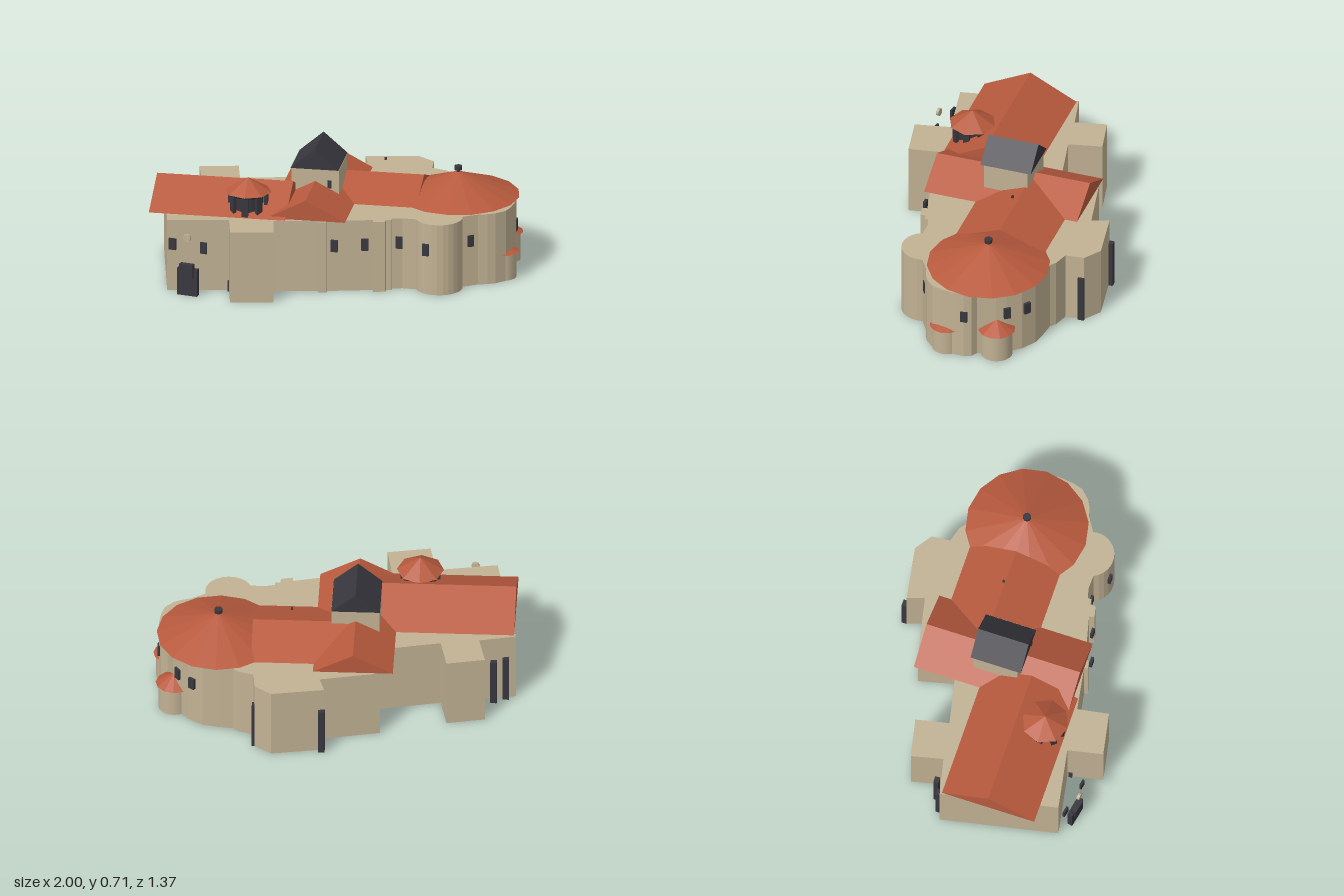
import * as THREE from 'three';

const mat = (name, color) => {
  const m = new THREE.MeshStandardMaterial({ color });
  m.name = name;
  return m;
};

export function createModel() {
  const stone = mat('stone', 0xc2b294);
  const tile = mat('roof tile', 0xb85a3e);
  const slate = mat('dark slate', 0x37373e);
  const model = new THREE.Group();
  const EAVE = 0.41;

  const add = (name, geo, material, x = 0, y = 0, z = 0, ry = 0) => {
    const m = new THREE.Mesh(geo, material);
    m.name = name;
    m.position.set(x, y, z);
    m.rotation.y = ry;
    model.add(m);
    return m;
  };
  const box = (name, material, x, y, z, w, h, d, ry = 0) =>
    add(name, new THREE.BoxGeometry(w, h, d), material, x, y, z, ry);
  const cyl = (name, material, x, y0, y1, z, rTop, rBottom, sides) =>
    add(name, new THREE.CylinderGeometry(rTop, rBottom, y1 - y0, sides), material, x, (y0 + y1) / 2, z);
  const cone = (name, material, x, y0, y1, z, r, sides) => {
    const g = new THREE.ConeGeometry(r, y1 - y0, sides).toNonIndexed();
    g.computeVertexNormals();
    return add(name, g, material, x, (y0 + y1) / 2, z);
  };

  // Gabled roof prism whose ridge runs along z, or along x when alongX is set
  const gable = (name, material, x0, x1, z0, z1, y0, y1, alongX) => {
    const span = alongX ? z1 - z0 : x1 - x0;
    const length = alongX ? x1 - x0 : z1 - z0;
    const s = new THREE.Shape();
    s.moveTo(-span / 2, 0);
    s.lineTo(span / 2, 0);
    s.lineTo(0, y1 - y0);
    const g = new THREE.ExtrudeGeometry(s, { depth: length, bevelEnabled: false });
    g.translate(0, 0, -length / 2);
    return add(name, g, material, (x0 + x1) / 2, y0, (z0 + z1) / 2, alongX ? Math.PI / 2 : 0);
  };

  // Walls: footprint as x, z pairs, with a rounded side chapel and an east apse
  const plan = [
    [-1, -0.10], [-0.87, 0.545], [-0.535, 0.485], [-0.495, 0.68], [-0.26, 0.635], [-0.29, 0.46],
    [-0.05, 0.42], [-0.045, 0.44], [0, 0.43], [0, 0.41], [0.245, 0.35], [0.25, 0.38],
    [0.315, 0.365], [0.315, 0.335], [0.345, 0.33], [0.345, 0.31], [0.40, 0.295],
  ];
  for (let i = 0; i <= 12; i++) {
    const a = THREE.MathUtils.degToRad(155 - i * 14);
    plan.push([0.595 + 0.13 * Math.cos(a), 0.243 + 0.13 * Math.sin(a)]);
  }
  plan.push(
    [0.80, 0.165], [0.85, 0.15], [0.89, 0.13], [0.94, 0.08], [0.957, 0.02], [0.965, -0.05],
    [0.965, -0.11], [0.95, -0.15], [0.915, -0.17], [0.90, -0.21], [0.88, -0.27], [0.85, -0.32],
    [0.79, -0.39], [0.71, -0.44], [0.63, -0.455], [0.54, -0.465], [0.51, -0.49], [0.425, -0.515],
    [0.415, -0.62], [0.32, -0.685], [0.03, -0.635], [0.06, -0.54], [-0.27, -0.47], [-0.22, -0.26],
    [-0.59, -0.18], [-0.63, -0.365], [-0.84, -0.32], [-0.80, -0.145],
  );
  const footprint = new THREE.Shape(plan.map(([x, z]) => new THREE.Vector2(x, -z)));
  const walls = new THREE.ExtrudeGeometry(footprint, { depth: EAVE, bevelEnabled: false });
  walls.rotateX(-Math.PI / 2);
  add('walls', walls, stone);

  // Main roofs
  gable('westNaveRoof', tile, -0.99, -0.23, -0.09, 0.445, EAVE, 0.545, true);
  gable('transeptRoof', tile, -0.34, 0.10, -0.47, 0.42, EAVE, 0.525, false);
  gable('eastNaveRoof', tile, -0.10, 0.445, -0.40, 0.12, EAVE, 0.51, true);
  cone('apseRoof', tile, 0.635, EAVE, 0.545, -0.14, 0.34, 16);
  cyl('apseFinialStem', slate, 0.635, 0.53, 0.555, -0.14, 0.01, 0.01, 8);
  cyl('apseFinialCap', slate, 0.635, 0.552, 0.575, -0.14, 0.022, 0.022, 10);
  box('ridgeFinial', slate, 0.23, 0.59, -0.14, 0.012, 0.012, 0.012);

  // Crossing tower
  box('crossingTower', stone, -0.12, 0.505, -0.025, 0.265, 0.19, 0.255);
  gable('crossingTowerRoof', slate, -0.255, 0.012, -0.17, 0.122, 0.6, 0.715, false);
  box('crossingTowerWindow', slate, -0.04, 0.513, 0.108, 0.022, 0.042, 0.014);

  // Octagonal lantern
  const lx = -0.455, lz = 0.33;
  cyl('lanternDrum', slate, lx, 0.42, 0.53, lz, 0.085, 0.085, 8).material = slate;
  cyl('lanternCornice', slate, lx, 0.515, 0.532, lz, 0.122, 0.108, 8);
  cone('lanternRoof', tile, lx, 0.53, 0.61, lz, 0.13, 8);
  for (let i = 0; i < 8; i++) {
    const a = (i * Math.PI) / 4;
    box('lanternPier', slate, lx + 0.1 * Math.sin(a), 0.467, lz + 0.1 * Math.cos(a), 0.035, 0.105, 0.02, a);
  }

  // Small rounded chapels on the east side
  [[0.905, 0.01, 0.08, 0.15, 0.187, 0.095], [0.872, -0.27, 0.088, 0.16, 0.225, 0.103]].forEach(
    ([x, z, r, eave, top, rRoof]) => {
      cyl('chapelWall', stone, x, 0, eave, z, r, r, 20);
      cone('chapelRoof', tile, x, eave, top, z, rRoof, 12);
    });

  // Portal group, standing just clear of the west end of the front wall
  const turn = -0.2;
  box('portal', slate, -0.745, 0.078, 0.6, 0.118, 0.155, 0.03, turn);
  box('portalTop', slate, -0.748, 0.148, 0.612, 0.08, 0.075, 0.03, turn);
  box('portalWindow', slate, -0.835, 0.283, 0.575, 0.042, 0.065, 0.012, turn);
  box('portalWindow', slate, -0.655, 0.283, 0.61, 0.038, 0.065, 0.012, turn);
  const oculus = new THREE.CylinderGeometry(0.022, 0.022, 0.015, 16);
  oculus.rotateX(Math.PI / 2);
  add('oculus', oculus, stone, -0.745, 0.342, 0.625, turn);
  box('sideDoor', slate, -0.533, 0.03, 0.502, 0.012, 0.06, 0.02);

  // Windows: x, y, z, turn
  [
    [0.043, 0.275, 0.432, 0], [0.205, 0.275, 0.383, 0], [0.385, 0.275, 0.318, 0],
    [0.542, 0.262, 0.373, 0], [0.76, 0.262, 0.186, 0.5], [0.963, 0.262, -0.11, Math.PI / 2],
    [0.852, 0.262, -0.325, 2.2], [0.77, 0.262, -0.412, 2.5],
  ].forEach(([x, y, z, ry]) => box('window', slate, x, y, z, 0.038, 0.067, 0.016, ry));

  // Tall slits along the back: x, z
  [[-0.945, -0.122], [-0.88, -0.157], [0.045, -0.65], [0.422, -0.605]].forEach(([x, z]) =>
    box('tallSlit', slate, x, 0.138, z, x > 0.4 ? 0.016 : 0.036, 0.276, x > 0.4 ? 0.036 : 0.028));

  return model;
}
